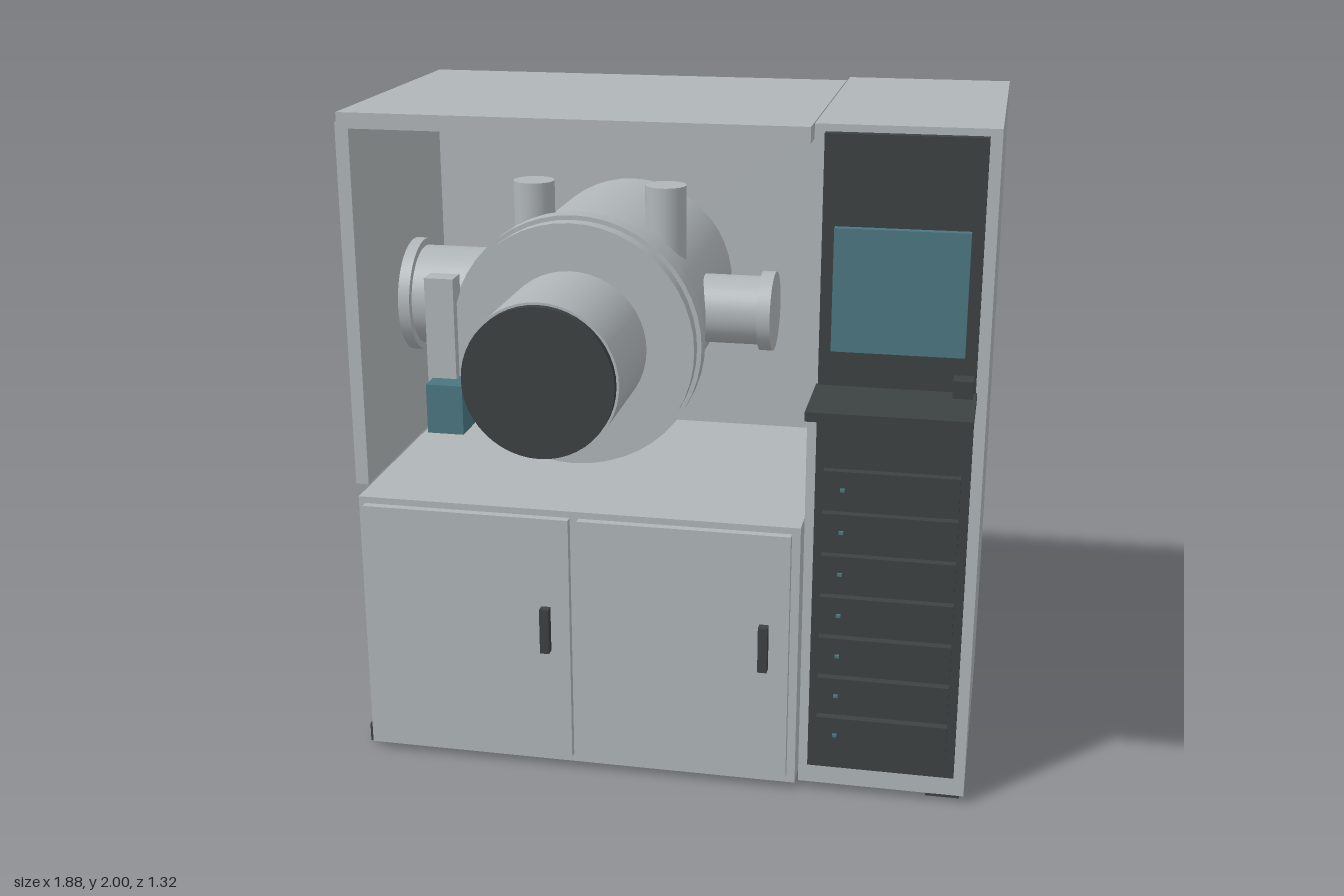
import * as THREE from 'three';

const mat = (name, color) => {
  const m = new THREE.MeshStandardMaterial({ color });
  m.name = name;
  return m;
};

export function createModel() {
  const root = new THREE.Group();
  root.name = 'vacuumChamberCabinet';
  const grey = mat('light grey', 0xb0b6b8);
  const dark = mat('charcoal', 0x3c4142);
  const teal = mat('teal', 0x4b7681);

  // Box given by its limits on each axis
  const box = (name, m, x0, x1, y0, y1, z0, z1, parent = root) => {
    const mesh = new THREE.Mesh(new THREE.BoxGeometry(x1 - x0, y1 - y0, z1 - z0), m);
    mesh.position.set((x0 + x1) / 2, (y0 + y1) / 2, (z0 + z1) / 2);
    mesh.name = name;
    parent.add(mesh);
    return mesh;
  };
  // Cylinder along one axis, running from a to b; (u, v) are the other two coordinates
  const tube = (name, m, axis, r, a, b, u, v, parent = root) => {
    const mesh = new THREE.Mesh(new THREE.CylinderGeometry(r, r, b - a, 48), m);
    const c = (a + b) / 2;
    if (axis === 'x') { mesh.rotation.z = Math.PI / 2; mesh.position.set(c, u, v); }
    if (axis === 'y') mesh.position.set(u, c, v);
    if (axis === 'z') { mesh.rotation.x = Math.PI / 2; mesh.position.set(u, v, c); }
    mesh.name = name;
    parent.add(mesh);
    return mesh;
  };
  const group = (name) => {
    const g = new THREE.Group();
    g.name = name;
    root.add(g);
    return g;
  };

  // Main cabinet: closed base, open bay above
  const cabinet = group('cabinet');
  box('base', grey, -0.9, 0.435, 0.017, 0.842, -0.63, 0.297, cabinet);
  box('backPanel', grey, -0.9, 0.435, 0.842, 1.945, -0.63, -0.6, cabinet);
  box('roof', grey, -0.9, 0.435, 1.945, 1.99, -0.63, 0.297, cabinet);
  box('sidePanel', grey, -0.94, -0.9, 0.848, 1.945, -0.62, 0.21, cabinet);
  for (const [x0, x1, handle] of [[-0.88, -0.248, -0.32], [-0.222, 0.41, 0.337]]) {
    box('door', grey, x0, x1, 0.043, 0.822, 0.297, 0.322, cabinet);
    box('doorHandle', dark, handle - 0.014, handle + 0.014, 0.4, 0.542, 0.322, 0.35, cabinet);
  }
  // Rear connectors
  for (let i = 0; i < 4; i++) {
    const x = -0.713 + i * 0.147;
    box('rearConnector', dark, x - 0.036, x + 0.036, 0.96, 1.028, -0.66, -0.63, cabinet);
  }

  // Control tower
  const tower = group('controlTower');
  box('towerBody', grey, 0.445, 0.938, 0.027, 2, -0.63, 0.297, tower);
  box('frontPanel', dark, 0.475, 0.906, 0.1, 1.98, 0.297, 0.327, tower);
  box('screen', teal, 0.51, 0.873, 1.39, 1.732, 0.327, 0.352, tower);
  box('keyboardShelf', dark, 0.47, 0.91, 1.26, 1.286, 0.32, 0.578, tower);
  box('shelfControl', dark, 0.846, 0.9, 1.286, 1.335, 0.327, 0.385, tower);
  for (let i = 0; i < 7; i++) {
    const y = 0.222 + i * 0.128;
    box('rackUnit', dark, 0.5, 0.88, y - 0.053, y + 0.053, 0.327, 0.353, tower);
    box('indicator', teal, 0.549, 0.562, y - 0.004, y + 0.004, 0.353, 0.362, tower);
  }

  // Feet
  for (const x of [-0.87, 0.875]) {
    for (const z of [0.215, -0.54]) {
      box('foot', dark, x - 0.05, x + 0.05, 0, x < 0 ? 0.06 : 0.03, z - 0.05, z + 0.05);
    }
  }

  // Round chamber with its front flange and source
  const chamber = group('chamber');
  const cx = -0.235, cy = 1.345;
  tube('chamberBody', grey, 'z', 0.325, -0.55, 0.2, cx, cy, chamber);
  tube('chamberFlange', grey, 'z', 0.368, 0.18, 0.24, cx, cy, chamber);
  tube('chamberDoor', grey, 'z', 0.355, 0.24, 0.285, cx, cy, chamber);
  tube('frontSource', grey, 'z', 0.218, 0.285, 0.635, cx, cy, chamber);
  tube('sourceCap', dark, 'z', 0.211, 0.635, 0.658, cx, cy, chamber);
  for (const x of [-0.43, -0.03]) tube('topPort', grey, 'y', 0.061, 1.5, 1.75, x, -0.06, chamber);

  // Side ports
  const pz = -0.17, py = 1.355;
  tube('leftPort', grey, 'x', 0.104, 0, 0.25, py, pz, chamber);
  tube('leftPortFlange', grey, 'x', 0.12, 0.245, 0.285, py, pz, chamber);
  tube('rightPort', grey, 'x', 0.153, -0.82, -0.45, py, pz, chamber);
  tube('rightPortFlange', grey, 'x', 0.175, -0.852, -0.816, py, pz, chamber);

  // Gate valve and its drive
  box('gateValve', grey, -0.657, -0.572, 1.16, 1.53, 0.25, 0.315, chamber);
  box('valveDrive', teal, -0.642, -0.535, 1.09, 1.235, 0.27, 0.382, chamber);

  return root;
}
